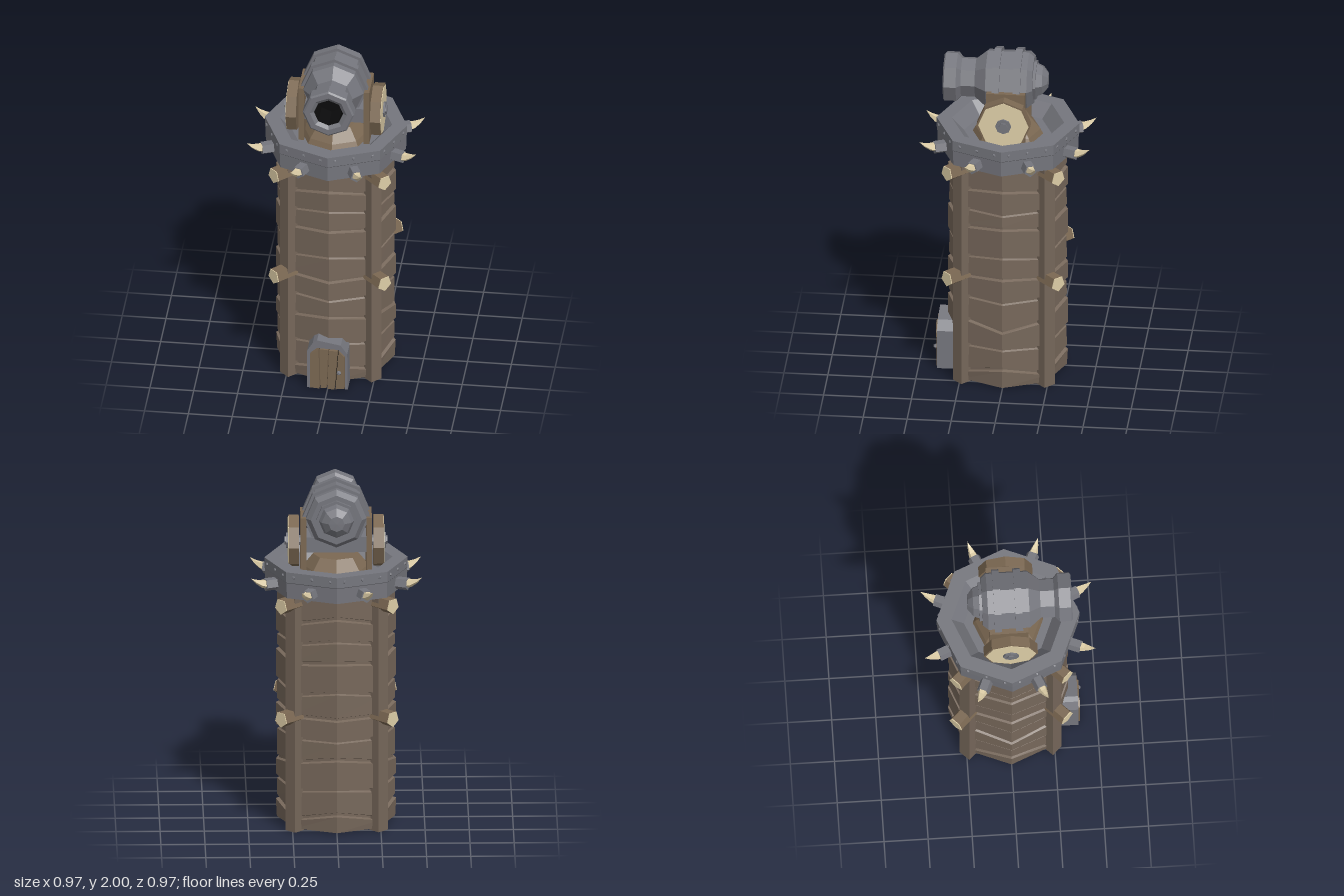
import * as THREE from 'three';

const mat = (name, color) => new THREE.MeshStandardMaterial({ name, color, flatShading: true, side: THREE.DoubleSide });

export function createModel() {
  const model = new THREE.Group();
  model.name = 'cannonTower';
  const wood = mat('wood', 0x76675a);
  const warmWood = mat('warmWood', 0x7b6852);
  const iron = mat('iron', 0x75767d);
  const cream = mat('cream', 0xdfcfa8);
  const black = mat('black', 0x0b0b0c);

  const add = (name, geo, material, parent = model, pos = [0, 0, 0], rot = [0, 0, 0]) => {
    const m = new THREE.Mesh(geo, material);
    m.name = name;
    m.position.set(...pos);
    m.rotation.set(...rot);
    parent.add(m);
    return m;
  };
  const box = (w, h, d) => new THREE.BoxGeometry(w, h, d);
  const cyl = (r, h, n, r2 = r) => new THREE.CylinderGeometry(r, r2, h, n);
  const lathe = (pts, n = 8) => new THREE.LatheGeometry(pts.map(p => new THREE.Vector2(...p)), n);
  const spin = (name, angle) => {
    const g = new THREE.Group();
    g.name = name;
    g.rotation.y = angle;
    model.add(g);
    return g;
  };

  // Octagonal wall of boards; each seam gives heights at front, side and diagonal corners
  const seams = [
    [0.12, 0.13, 0.07], [0.265, 0.25, 0.235], [0.445, 0.365, 0.405], [0.55, 0.545, 0.545],
    [0.68, 0.70, 0.677], [0.84, 0.835, 0.80], [1.015, 1.02, 0.988], [1.145, 1.105, 1.102], [1.28, 1.26, 1.225],
  ];
  const rings = [{ s: [0.01, 0.01, 0.01], dy: 0, r: 0.335 }];
  seams.forEach((s, k) => {
    const r = k % 2 ? 0.333 : 0.341, next = k % 2 ? 0.341 : 0.335;
    rings.push({ s, dy: -0.014, r }, { s, dy: -0.007, r: 0.322 }, { s, dy: 0.007, r: 0.322 }, { s, dy: 0.012, r: next });
  });
  rings.push({ s: [1.41, 1.41, 1.41], dy: 0, r: 0.335 });
  const pos = [], idx = [];
  rings.forEach(({ s, dy, r }, j) => {
    for (let i = 0; i < 8; i++) {
      const a = i * Math.PI / 4;
      pos.push(r * Math.sin(a), s[i % 2 ? 2 : (i % 4) / 2] + dy, r * Math.cos(a));
      if (j) {
        const p = (j - 1) * 8 + i, q = (j - 1) * 8 + (i + 1) % 8;
        idx.push(p, q, q + 8, p, q + 8, p + 8);
      }
    }
  });
  const wall = new THREE.BufferGeometry();
  wall.setAttribute('position', new THREE.Float32BufferAttribute(pos, 3));
  wall.setIndex(idx);
  wall.computeVertexNormals();
  add('boardWall', wall, wood);

  // Corner posts with two protruding five-sided beams each
  for (let i = 0; i < 4; i++) {
    const g = spin('cornerPost', Math.PI / 4 + i * Math.PI / 2);
    add('post', box(0.075, 1.4, 0.075), wood, g, [0, 0.7, 0.335]);
    for (const y of [0.68, 1.35]) {
      add('beam', cyl(0.047, 0.16, 5), warmWood, g, [0, y, 0.365], [Math.PI / 2, 0, 0]);
      add('beamEnd', cyl(0.047, 0.005, 5), cream, g, [0, y, 0.4475], [Math.PI / 2, 0, 0]);
    }
  }

  // Iron crown with sloped bowl and floor
  add('crown', lathe([
    [0.31, 1.39], [0.4, 1.39], [0.403, 1.48], [0.406, 1.484], [0.406, 1.545],
    [0.32, 1.545], [0.25, 1.47], [0, 1.47],
  ]), iron);

  // Spikes in sockets and rivets on each crown face
  for (let i = 0; i < 8; i++) {
    const g = spin('crownSpike', Math.PI / 8 + i * Math.PI / 4);
    add('socket', cyl(0.038, 0.085, 5), iron, g, [0, 1.435, 0.395], [Math.PI / 2, 0, 0]);
    const horn = new THREE.ConeGeometry(0.03, 0.1, 5, 3);
    horn.rotateX(Math.PI / 2);
    const p = horn.attributes.position;
    for (let k = 0; k < p.count; k++) {
      const t = p.getZ(k) / 0.1 + 0.5, swell = 1 + 0.5 * t;
      p.setXYZ(k, p.getX(k) * swell, p.getY(k) * swell + 0.045 * t * t, p.getZ(k));
    }
    add('spike', horn, cream, g, [0, 1.438, 0.475]);
    for (const x of [-0.11, 0, 0.11])
      add('rivet', cyl(0.006, 0.008, 5, 0.011), iron, g, [x, 1.517, 0.378], [Math.PI / 2, 0, 0]);
  }

  // Turntable and carriage
  add('turntable', lathe([[0.2, 1.47], [0.185, 1.5], [0.13, 1.568], [0, 1.568]]), warmWood);
  add('cradle', box(0.34, 0.09, 0.18), iron, model, [0, 1.645, 0]);
  add('axle', cyl(0.03, 0.5, 8), iron, model, [0, 1.645, 0], [0, 0, Math.PI / 2]);
  for (const s of [-1, 1]) {
    add('carriagePlate', box(0.032, 0.34, 0.22), warmWood, model, [s * 0.186, 1.64, -0.005]);
    const w = new THREE.Group();
    w.name = s > 0 ? 'leftWheel' : 'rightWheel';
    w.position.set(s * 0.24, 1.645, 0);
    w.rotation.z = -s * Math.PI / 2;
    model.add(w);
    add('wheelRim', cyl(0.153, 0.058, 8), warmWood, w);
    add('wheelFace', cyl(0.143, 0.004, 8), cream, w, [0, 0.03, 0]);
    add('hub', cyl(0.045, 0.014, 8), iron, w, [0, 0.036, 0]);
    add('hubBolt', cyl(0.026, 0.012, 6), iron, w, [0, 0.045, 0]);
  }

  // Barrel, reinforcing bands and bore, turned about the z axis
  const gun = new THREE.Group();
  gun.name = 'cannon';
  gun.position.y = 1.81;
  gun.rotation.x = Math.PI / 2;
  model.add(gun);
  add('barrel', lathe([
    [0, -0.232], [0.045, -0.23], [0.085, -0.2], [0.1, -0.166], [0.117, -0.166], [0.117, -0.15],
    [0.145, -0.15], [0.172, -0.12], [0.172, 0.115], [0.117, 0.18], [0.117, 0.26], [0.147, 0.285],
    [0.147, 0.352], [0.137, 0.36], [0.105, 0.36], [0.083, 0.345],
  ]), iron, gun);
  add('bore', lathe([[0.083, 0.345], [0.08, 0.2], [0, 0.2]]), black, gun);
  for (const z of [-0.065, 0.055])
    add('barrelBand', cyl(0.19, 0.04, 8), iron, gun, [0, z, 0]);

  // Doorway: lopsided arch, dark recess, planks and knob
  const shape = pts => pts.map(p => new THREE.Vector2(...p));
  const arch = new THREE.Shape(shape([
    [-0.118, 0.005], [-0.116, 0.25], [-0.085, 0.3], [-0.06, 0.32], [0.075, 0.295], [0.112, 0.24], [0.115, 0.005],
    [0.1, 0.005], [0.098, 0.225], [0.062, 0.265], [-0.06, 0.27], [-0.1, 0.235], [-0.1, 0.005],
  ]));
  const frame = new THREE.ExtrudeGeometry(arch, { depth: 0.13, bevelEnabled: false });
  add('doorFrame', frame, iron, model, [0, 0, 0.262]);
  add('doorRecess', box(0.196, 0.22, 0.06), black, model, [0, 0.12, 0.325]);
  const planks = [
    [[-0.098, 0.012], [-0.045, 0.008], [-0.05, 0.266], [-0.098, 0.235]],
    [[-0.04, 0.008], [-0.005, 0.012], [0.004, 0.262], [-0.045, 0.266]],
    [[0.0, 0.01], [0.04, 0.006], [0.058, 0.262], [0.009, 0.262]],
    [[0.046, 0.006], [0.097, 0.012], [0.096, 0.22], [0.063, 0.258]],
  ];
  planks.forEach((pts, i) => add('doorPlank',
    new THREE.ExtrudeGeometry(new THREE.Shape(shape(pts)), { depth: 0.045, bevelEnabled: false }),
    warmWood, model, [0, 0, i % 2 ? 0.352 : 0.358]));
  add('doorKnob', new THREE.IcosahedronGeometry(0.014, 0), iron, model, [0.066, 0.12, 0.404]);

  return model;
}
